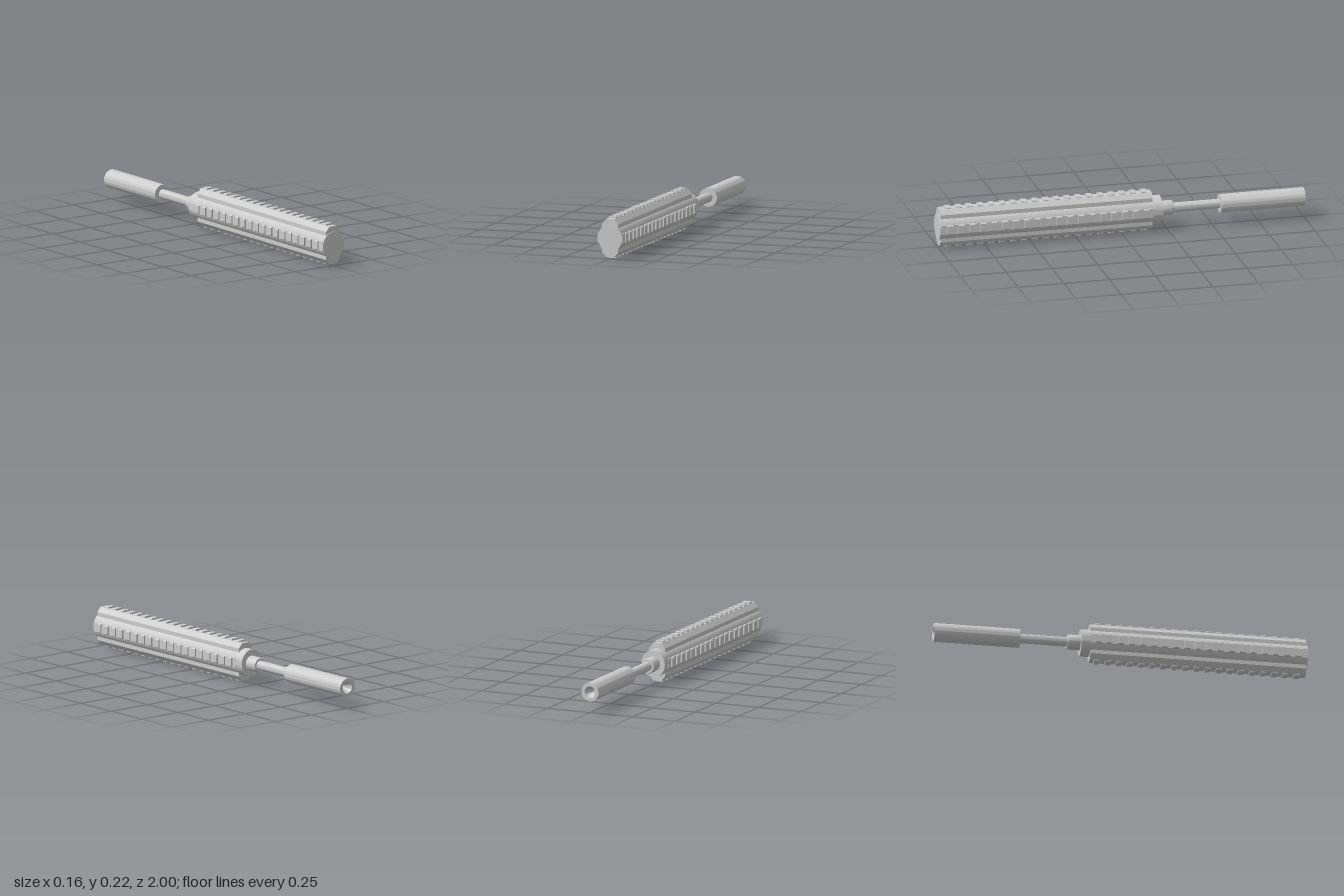
import * as THREE from 'three';
import { toCreasedNormals } from 'three/addons/utils/BufferGeometryUtils.js';

const CY = 0.111; // height of the long axis

export function createModel() {
  const model = new THREE.Group();
  const material = new THREE.MeshStandardMaterial({ color: 0xcccccc });

  const add = (parent, name, geometry) => {
    const mesh = new THREE.Mesh(geometry, material);
    mesh.name = name;
    parent.add(mesh);
    return mesh;
  };

  // Turned part along z from [radius, z] pairs, listed from back to front
  const turned = (name, profile, stretchY = 1) => {
    const pts = profile.map(([r, z]) => new THREE.Vector2(r, z));
    const g = new THREE.LatheGeometry(pts, 48).rotateX(Math.PI / 2).scale(1, stretchY, 1);
    return add(model, name, toCreasedNormals(g, 0.5)).position.y = CY;
  };

  // Straight bar with an x-y cross-section, running from z0 to z1
  const bar = (section, z0, z1) => {
    const shape = new THREE.Shape(section.map(([x, y]) => new THREE.Vector2(x, y)));
    return new THREE.ExtrudeGeometry(shape, { depth: z1 - z0, bevelEnabled: false }).translate(0, 0, z0);
  };

  // Oval body with its rear collar
  turned('body', [[0, -0.215], [0.068, -0.215], [0.068, 1], [0, 1]], 0.073 / 0.068);

  // Stepped rear: neck, barrel and hollow-mouthed muzzle sleeve
  turned('neck', [[0, -0.285], [0.036, -0.285], [0.04, -0.275], [0.04, -0.21], [0, -0.21]]);
  turned('barrel', [[0.025, -0.56], [0.025, -0.28]]);
  turned('muzzleSleeve', [[0, -0.92], [0.013, -0.92], [0.013, -0.965], [0.02, -0.978], [0.031, -1],
    [0.05, -1], [0.05, -0.54], [0, -0.54]]);

  // Each rail is built pointing up, then turned around the long axis
  const ridge = bar([[-0.045, 0.03], [0.045, 0.03], [0.045, 0.076], [0.023, 0.102],
    [-0.023, 0.102], [-0.045, 0.076]], -0.165, 0.995);
  const sideBase = bar([[-0.025, 0.04], [0.025, 0.04], [0.025, 0.07], [-0.025, 0.07]], -0.165, 0.995);
  const toothAt = (y0, y1, w) => bar([[-w, y0], [w, y0], [w, y1 - 0.005],
    [w - 0.004, y1], [-w + 0.004, y1], [-w, y1 - 0.005]], 0, 0.03);
  const tallTooth = toothAt(0.09, 0.111, 0.023);
  const sideTooth = toothAt(0.06, 0.078, 0.025);

  ['topRail', 'leftRail', 'bottomRail', 'rightRail'].forEach((name, i) => {
    const rail = new THREE.Group();
    rail.name = name;
    rail.position.y = CY;
    rail.rotation.z = -i * Math.PI / 2;
    const side = i % 2 === 1;
    add(rail, 'railBase', side ? sideBase : ridge);
    for (let k = 0; k < 19; k++) {
      add(rail, 'railTooth', side ? sideTooth : tallTooth).position.z = -0.14 + k * 0.0595;
    }
    model.add(rail);
  });

  return model;
}
